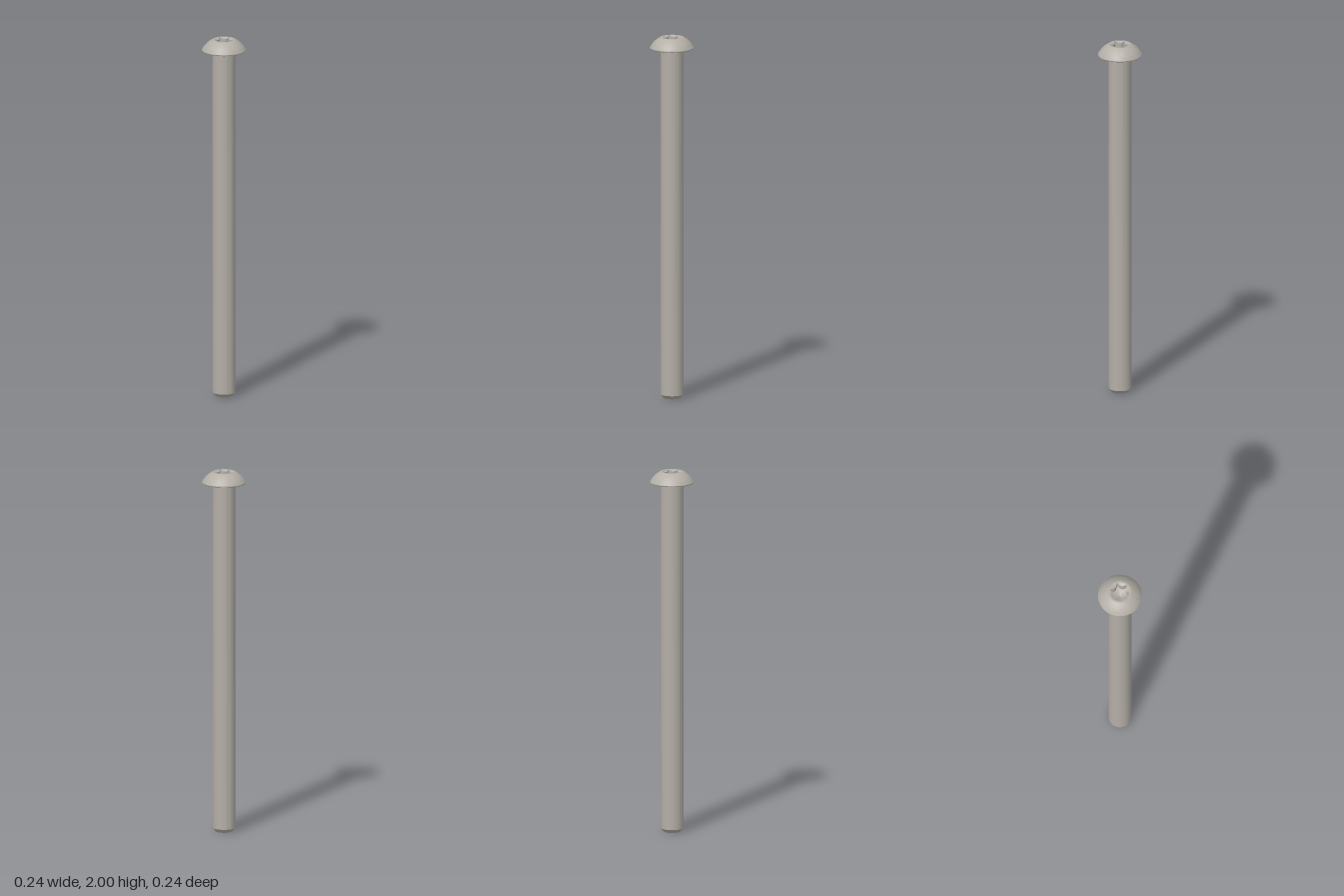
import * as THREE from 'three';
import { toCreasedNormals } from 'three/addons/utils/BufferGeometryUtils.js';

const SEGMENTS = 64;

// Outline of the six-lobed socket, anticlockwise, one tip pointing to the back
function starOutline() {
  const tipR = 0.006, tipC = 0.046, valleyR = 0.0284, valleyC = 0.0654;
  const tilt = Math.atan2(valleyC * 0.5, valleyC * Math.cos(Math.PI / 6) - tipC);
  const points = [];
  const arc = (cAngle, cDist, r, from, to, steps) => {
    for (let i = 0; i < steps; i++) {
      const a = from + (to - from) * i / steps;
      points.push(new THREE.Vector2(
        cDist * Math.cos(cAngle) + r * Math.cos(a),
        cDist * Math.sin(cAngle) + r * Math.sin(a)));
    }
  };
  for (let k = 0; k < 6; k++) {
    const a = Math.PI / 2 + k * Math.PI / 3;
    arc(a, tipC, tipR, a - tilt, a + tilt, 8);
    arc(a + Math.PI / 6, valleyC, valleyR, a + tilt + Math.PI, a + Math.PI / 3 - tilt + Math.PI, 10);
  }
  return points;
}

// Closed band between two rings of equal point count, facing up or inward
function band(outer, inner) {
  const n = outer.length, index = [];
  for (let i = 0; i < n; i++) {
    const j = (i + 1) % n;
    index.push(i, j, n + i, j, n + j, n + i);
  }
  const geometry = new THREE.BufferGeometry().setFromPoints([...outer, ...inner]);
  geometry.setIndex(index);
  geometry.computeVertexNormals();
  return geometry;
}

function lathe(profile) {
  const points = profile.map(([r, y]) => new THREE.Vector2(r, y));
  return toCreasedNormals(new THREE.LatheGeometry(points, SEGMENTS), 0.4);
}

export function createModel() {
  const model = new THREE.Group();
  model.name = 'screw';
  const steel = new THREE.MeshStandardMaterial({ color: 0xb3aea6 });
  steel.name = 'steel';
  const add = (name, geometry, parent = model) => {
    const mesh = new THREE.Mesh(geometry, steel);
    mesh.name = name;
    parent.add(mesh);
  };

  // Plain shank with a chamfered end
  add('shank', lathe([[0, 0], [0.046, 0], [0.0625, 0.02], [0.0625, 1.937]]));

  // Button head: flat underside, thin rim, spherical dome and flat top ring
  const head = [[0.06, 1.937], [0.117, 1.937], [0.12, 1.94]];
  const domeR = 0.1365, domeY = 1.879;
  const a0 = Math.acos(0.12 / domeR), a1 = Math.acos(0.063 / domeR);
  for (let i = 0; i <= 10; i++) {
    const a = a0 + (a1 - a0) * i / 10;
    head.push([domeR * Math.cos(a), domeY + domeR * Math.sin(a)]);
  }
  head.push([0.053, 2]);
  add('head', lathe(head));

  // Socket: conical lead-in, lobed wall and conical floor
  const socket = new THREE.Group();
  socket.name = 'socket';
  model.add(socket);
  const star = starOutline();
  const ring = (radius, height) => star.map((p) => {
    const q = p.clone().setLength(radius(p.length()));
    return new THREE.Vector3(q.x, height(p.length()), -q.y);
  });
  const mouth = ring(() => 0.053, () => 2);
  const edge = ring((r) => r, (r) => 2 - (0.053 - r) * 0.5);
  const foot = ring((r) => r, (r) => 1.925 + r * 0.45);
  const centre = star.map(() => new THREE.Vector3(0, 1.925, 0));
  add('socketLeadIn', band(mouth, edge), socket);
  add('socketWall', band(edge, foot), socket);
  add('socketFloor', toCreasedNormals(band(foot, centre), 0.4), socket);

  return model;
}
